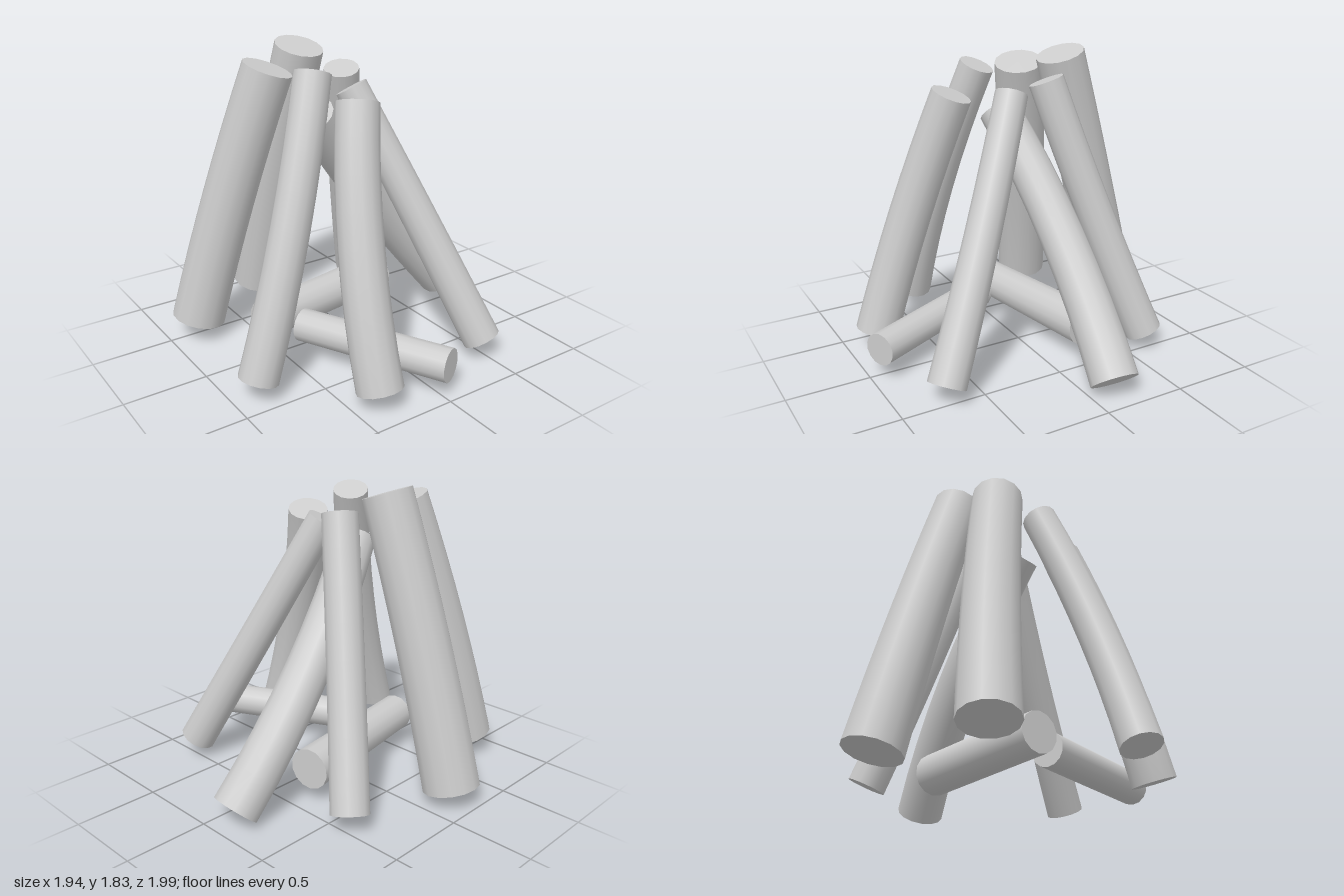
import * as THREE from 'three';

const UP = new THREE.Vector3(0, 1, 0);

// Tapered round log from bottom a to top b, bowed sideways by bend at mid-length
function logGeometry(a, b, ra, rb, bend) {
  const start = new THREE.Vector3(...a);
  const end = new THREE.Vector3(...b);
  const control = start.clone().add(end).multiplyScalar(0.5)
    .addScaledVector(new THREE.Vector3(...bend), 2);
  const axis = new THREE.QuadraticBezierCurve3(start, control, end);

  const geo = new THREE.CylinderGeometry(1, 1, 1, 14, 8);
  const pos = geo.attributes.position;
  const nor = geo.attributes.normal;
  const v = new THREE.Vector3();
  const n = new THREE.Vector3();
  const q = new THREE.Quaternion();
  for (let i = 0; i < pos.count; i++) {
    const t = THREE.MathUtils.clamp(pos.getY(i) + 0.5, 0, 1);
    const r = THREE.MathUtils.lerp(ra, rb, t);
    q.setFromUnitVectors(UP, axis.getTangent(t));
    v.set(pos.getX(i) * r, 0, pos.getZ(i) * r).applyQuaternion(q).add(axis.getPoint(t));
    pos.setXYZ(i, v.x, v.y, v.z);
    n.fromBufferAttribute(nor, i).applyQuaternion(q);
    nor.setXYZ(i, n.x, n.y, n.z);
  }
  return geo;
}

export function createModel() {
  const group = new THREE.Group();
  group.name = 'logPile';
  const wood = new THREE.MeshStandardMaterial({ color: 0xcccccc });
  wood.name = 'paleGrey';

  // name, bottom centre, top centre, bottom radius, top radius, bow
  const logs = [
    // leaning logs
    ['backLog', [-0.19, 0.09, -0.835], [-0.11, 1.78, -0.355], 0.172, 0.15, [-0.01, 0, -0.015]],
    ['backRightLog', [-0.81, 0.12, -0.485], [-0.4, 1.7, -0.23], 0.165, 0.152, [-0.01, 0, -0.02]],
    ['frontRightLog', [-0.85, 0.11, 0.36], [-0.31, 1.72, 0.11], 0.118, 0.107, [0, 0, 0.05]],
    ['frontLog', [-0.35, 0.105, 0.815], [-0.175, 1.585, 0.345], 0.135, 0.123, [-0.05, 0, 0]],
    ['frontLeftLog', [0.48, 0.11, 0.725], [-0.005, 1.59, 0.04], 0.114, 0.098, [0.01, 0, -0.01]],
    ['backLeftLog', [0.47, 0.1, -0.635], [0.06, 1.66, -0.155], 0.114, 0.107, [-0.015, 0, 0.01]],
    ['leftBentLog', [0.87, 0.09, -0.13], [-0.24, 1.45, 0], 0.142, 0.125, [-0.015, 0, -0.065]],
    // logs lying low in the middle
    ['lyingBackLog', [-0.575, 0.2, -0.075], [0.4, 0.205, -0.24], 0.117, 0.126, [0, 0, 0]],
    ['lyingFrontLog', [0.04, 0.185, 0.945], [-0.39, 0.185, 0.08], 0.1, 0.1, [0, 0, 0]],
  ];
  for (const [name, a, b, ra, rb, bend] of logs) {
    const mesh = new THREE.Mesh(logGeometry(a, b, ra, rb, bend), wood);
    mesh.name = name;
    group.add(mesh);
  }
  return group;
}
